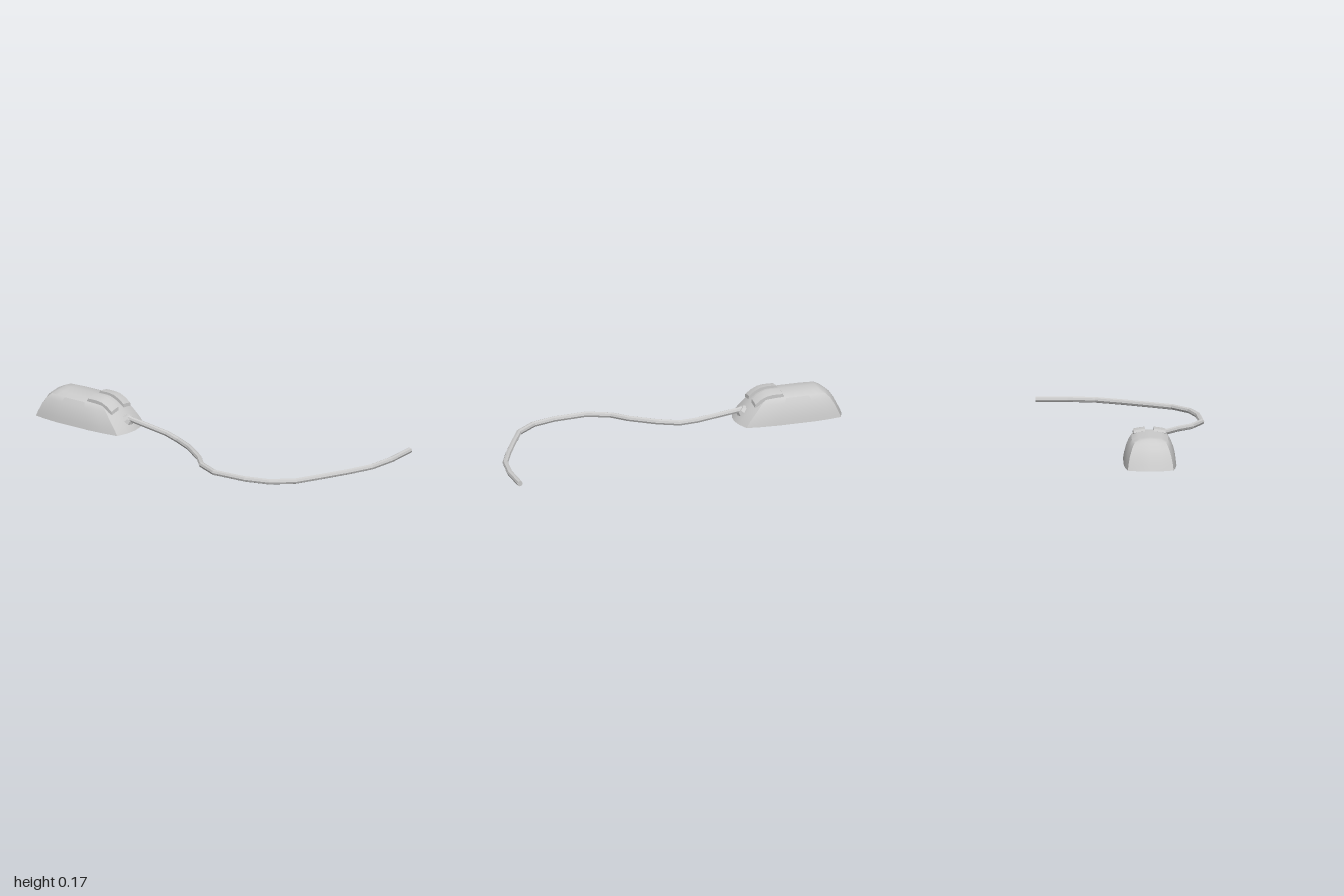
import * as THREE from 'three';
import { mergeVertices, toCreasedNormals } from 'three/addons/utils/BufferGeometryUtils.js';

const CX = -0.13; // centre line of the mouse body

function mesh(name, geometry, options = {}) {
  const m = new THREE.Mesh(geometry, new THREE.MeshStandardMaterial({ color: 0xcccccc, ...options }));
  m.name = name;
  return m;
}

// Plan outline of the shell at one height, counter-clockwise from above
function outline(y, w, zFront, zBack) {
  const pts = [], bulge = 0.22 * w, corner = 0.87;
  const ends = [-1, -0.5, 0, 0.5, 1];
  const side = [[0.15, 0.95], [0.33, 1], [0.72, 1], [0.88, 0.95]];
  const zAt = (s) => THREE.MathUtils.lerp(zFront - bulge, zBack + bulge, s);
  for (const t of ends) pts.push([t * corner * w, y, zFront - bulge * t * t]);
  for (const [s, k] of side) pts.push([k * w, y, zAt(s)]);
  for (const t of ends) pts.push([-t * corner * w, y, zBack + bulge * t * t]);
  for (const [s, k] of [...side].reverse()) pts.push([-k * w, y, zAt(s)]);
  return pts;
}

// Shell open underneath, lofted through outlines that shrink to a ridge
function shellGeometry() {
  const levels = [ // height, half width, front z, back z
    [0, 0.14, -0.408, -1.0],
    [0.03, 0.136, -0.428, -0.987],
    [0.07, 0.127, -0.465, -0.967],
    [0.11, 0.112, -0.505, -0.94],
    [0.135, 0.097, -0.54, -0.91],
    [0.15, 0.063, -0.58, -0.88],
    [0.156, 0.0, -0.61, -0.86],
  ];
  const rings = levels.map((l) => outline(...l));
  const n = rings[0].length, index = [];
  for (let k = 0; k < rings.length - 1; k++) {
    for (let i = 0; i < n; i++) {
      const a = k * n + i, b = k * n + (i + 1) % n;
      index.push(a, b, b + n, a, b + n, a + n);
    }
  }
  const g = new THREE.BufferGeometry();
  g.setAttribute('position', new THREE.Float32BufferAttribute(rings.flat(2), 3));
  g.setIndex(index);
  return toCreasedNormals(mergeVertices(g), 0.6);
}

// Curved slab following the nose of the shell, lower towards its outer edge
function buttonGeometry(x0, x1) {
  const profile = [
    [-0.497, 0.106], [-0.5, 0.124], [-0.53, 0.147], [-0.565, 0.163], [-0.6, 0.168],
    [-0.652, 0.167], [-0.66, 0.155], [-0.655, 0.142], [-0.59, 0.139], [-0.54, 0.124],
  ].map((p) => new THREE.Vector2(...p));
  const g = new THREE.ExtrudeGeometry(new THREE.Shape(profile), { depth: x1 - x0, steps: 4, bevelEnabled: false });
  g.rotateY(-Math.PI / 2).translate(x1, 0, 0);
  const p = g.attributes.position;
  for (let i = 0; i < p.count; i++) p.setY(i, p.getY(i) - 1.5 * p.getX(i) ** 2);
  return toCreasedNormals(g, 0.6);
}

// Straight-segment path with mitred joints
class Polyline extends THREE.Curve {
  constructor(points) {
    super();
    this.points = points;
  }
  getPoint(t, target = new THREE.Vector3()) {
    const f = t * (this.points.length - 1);
    const i = Math.min(Math.floor(f + 1e-6), this.points.length - 2);
    return target.lerpVectors(this.points[i], this.points[i + 1], f - i);
  }
  getPointAt(t, target) {
    return this.getPoint(t, target);
  }
  getTangentAt(t, target = new THREE.Vector3()) {
    const last = this.points.length - 1, i = Math.round(t * last), p = this.points;
    const before = p[Math.max(i, 1)].clone().sub(p[Math.max(i, 1) - 1]).normalize();
    const j = Math.min(i, last - 1);
    const after = p[j + 1].clone().sub(p[j]).normalize();
    return target.copy(before).add(after).normalize();
  }
}

export function createModel() {
  const model = new THREE.Group();
  model.name = 'computerMouse';

  // Mouse body
  const body = new THREE.Group();
  body.name = 'body';
  body.position.x = CX;
  model.add(body);
  body.add(mesh('shell', shellGeometry(), { side: THREE.DoubleSide }));
  body.add(mesh('rightButton', buttonGeometry(-0.086, -0.024)));
  body.add(mesh('leftButton', buttonGeometry(0.024, 0.086)));

  // Collar where the cable enters the nose
  const collar = mesh('cableCollar', new THREE.CylinderGeometry(0.024, 0.038, 0.022, 8), { flatShading: true });
  collar.position.set(0, 0.058, -0.448);
  collar.rotation.x = Math.PI / 4;
  body.add(collar);

  // Cable
  const ground = 0.018, r = 0.0155;
  const path = [
    [CX, 0.066, -0.47], [CX, 0.058, -0.42], [CX, 0.03, -0.2], [-0.15, ground, -0.11],
    [-0.205, ground, 0], [-0.3, ground, 0.13], [-0.375, ground, 0.2], [-0.43, ground, 0.32],
    [-0.415, ground, 0.51], [-0.375, ground, 0.64], [-0.285, ground, 0.75], [-0.15, ground, 0.825],
    [-0.01, ground, 0.9], [0.12, ground, 0.96], [0.27, ground, 0.984], [0.44, ground, 0.984],
  ].map((p) => new THREE.Vector3(...p));
  model.add(mesh('cable', new THREE.TubeGeometry(new Polyline(path), path.length - 1, r, 8), { flatShading: true }));

  // Flat ends of the cable
  const last = path.length - 1;
  for (const [name, at, from] of [['cableEnd', last, last - 1], ['cableInnerEnd', 0, 1]]) {
    const cap = mesh(name, new THREE.CircleGeometry(r, 8));
    cap.position.copy(path[at]);
    cap.lookAt(path[at].clone().multiplyScalar(2).sub(path[from]));
    model.add(cap);
  }
  return model;
}
